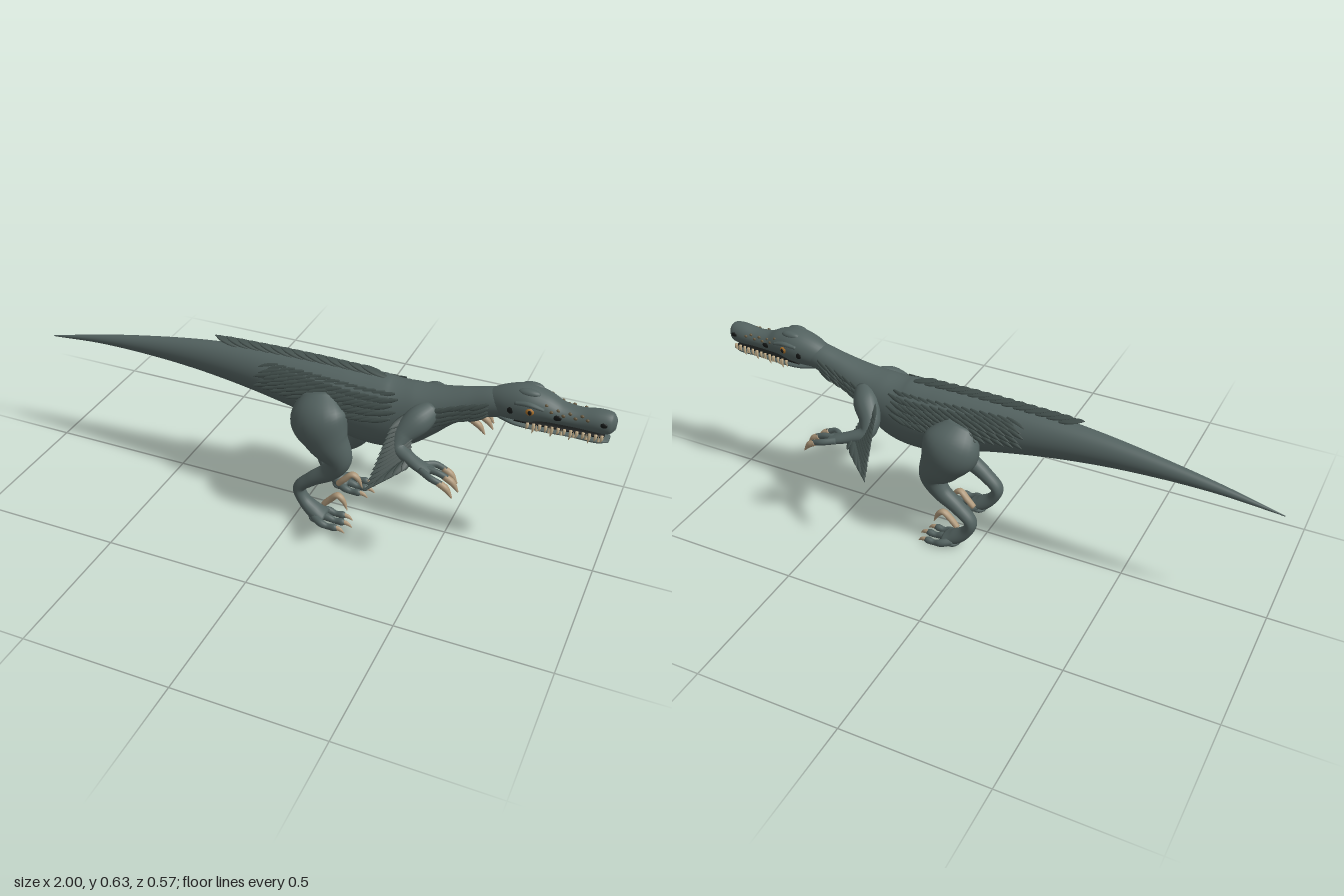
import * as THREE from 'three';
import { mergeGeometries } from 'three/addons/utils/BufferGeometryUtils.js';

const mat = (name, color) => Object.assign(new THREE.MeshStandardMaterial({ color }), { name });
const V = (x, y, z) => new THREE.Vector3(x, y, z);
const lerp = THREE.MathUtils.lerp;

// Sweep an ellipse along points [x, y, z, height radius, side radius]; ref is the side direction.
function sweep(pts, steps = 40, sides = 24, ref = V(0, 0, 1)) {
  const path = new THREE.CatmullRomCurve3(pts.map(p => V(p[0], p[1], p[2])));
  const radii = new THREE.CatmullRomCurve3(pts.map(p => V(p[3], p[4], 0)), false, 'catmullrom', 0.5);
  const pos = [], index = [];
  for (let k = -1; k <= steps + 1; k++) {
    const t = THREE.MathUtils.clamp(k / steps, 0, 1);
    const capped = k < 0 || k > steps;
    const c = path.getPoint(t), r = radii.getPoint(t), tan = path.getTangent(t);
    const s = ref.clone().addScaledVector(tan, -ref.dot(tan)).normalize();
    const u = s.clone().cross(tan);
    for (let j = 0; j < sides; j++) {
      const a = j / sides * Math.PI * 2;
      const p = c.clone();
      if (!capped) {
        p.addScaledVector(s, Math.cos(a) * Math.max(r.y, 0.0004));
        p.addScaledVector(u, Math.sin(a) * Math.max(r.x, 0.0004));
      }
      pos.push(p.x, p.y, p.z);
    }
  }
  for (let i = 0; i < steps + 2; i++) for (let j = 0; j < sides; j++) {
    const a = i * sides + j, b = i * sides + (j + 1) % sides;
    index.push(a, a + sides, b, b, a + sides, b + sides);
  }
  const g = new THREE.BufferGeometry();
  g.setAttribute('position', new THREE.Float32BufferAttribute(pos, 3));
  g.setIndex(index);
  g.computeVertexNormals();
  return g;
}

// Thin leaf-shaped blade from base to tip, its width lying along ref
function feather(base, tip, width, ref, thick = 0.003) {
  const at = (t, w) => {
    const p = base.clone().lerp(tip, t);
    return [p.x, p.y, p.z, thick * (w + 0.2), width * w];
  };
  return sweep([at(0, 0.45), at(0.35, 1), at(0.75, 0.8), at(1, 0.08)], 8, 8, ref);
}

// Ellipsoid without uv, so it merges with the swept parts
const ball = (x, y, z, rx, ry, rz) =>
  new THREE.SphereGeometry(1, 16, 12).deleteAttribute('uv').scale(rx, ry, rz).translate(x, y, z);

// Body profile: x, top, bottom, half width
const BODY = [
  [-1, 0.421, 0.418, 0.001], [-0.8, 0.467, 0.436, 0.016], [-0.6, 0.505, 0.437, 0.03],
  [-0.4, 0.535, 0.426, 0.046], [-0.2, 0.552, 0.402, 0.065], [0, 0.557, 0.365, 0.084],
  [0.12, 0.558, 0.33, 0.094], [0.22, 0.556, 0.307, 0.097], [0.31, 0.556, 0.315, 0.094],
  [0.4, 0.56, 0.375, 0.083], [0.48, 0.565, 0.44, 0.066], [0.56, 0.582, 0.483, 0.052],
  [0.63, 0.6, 0.505, 0.048], [0.69, 0.605, 0.52, 0.045]];
const SKULL = [
  [0.61, 0.59, 0.51, 0.035], [0.67, 0.62, 0.51, 0.054], [0.73, 0.635, 0.515, 0.06],
  [0.78, 0.623, 0.526, 0.054], [0.83, 0.6, 0.53, 0.044], [0.89, 0.594, 0.53, 0.037],
  [0.95, 0.603, 0.528, 0.037], [0.985, 0.6, 0.53, 0.031], [1, 0.582, 0.547, 0.014]];
const JAW = [
  [0.64, 0.54, 0.508, 0.03], [0.7, 0.53, 0.503, 0.048], [0.78, 0.521, 0.502, 0.045],
  [0.88, 0.518, 0.499, 0.034], [0.95, 0.517, 0.496, 0.031], [0.985, 0.514, 0.503, 0.02]];
const fromProfile = rows => rows.map(([x, t, b, w]) => [x, (t + b) / 2, 0, (t - b) / 2, w]);

// Point on the surface of a profile at x and angle a above the side
function onProfile(rows, x, a, side) {
  let i = 0;
  while (i < rows.length - 2 && rows[i + 1][0] < x) i++;
  const f = (x - rows[i][0]) / (rows[i + 1][0] - rows[i][0]);
  const [t, b, w] = [1, 2, 3].map(k => lerp(rows[i][k], rows[i + 1][k], f));
  return V(x, (t + b) / 2 + (t - b) / 2 * Math.sin(a), side * w * Math.cos(a));
}

export function createModel() {
  const model = new THREE.Group();
  model.name = 'featheredRaptor';
  const skin = mat('slate green skin', 0x536260);
  const plume = mat('dark feathers', 0x424f4c);
  const horn = mat('tan claws', 0xae987a);
  const tooth = mat('ivory teeth', 0xc9b48f);
  const amber = mat('amber eyes', 0xa8702c);
  const brown = mat('brown scales', 0x65583f);
  const black = mat('black openings', 0x151817);
  const add = (name, geos, material) => {
    const m = new THREE.Mesh(mergeGeometries([geos].flat()), material);
    m.name = name;
    model.add(m);
  };

  add('bodyAndTail', sweep(fromProfile(BODY), 90, 36), skin);
  add('skull', sweep(fromProfile(SKULL), 50, 32), skin);
  add('lowerJaw', sweep(fromProfile(JAW), 30, 24), skin);
  add('mouthLining', sweep([[0.7, 0.525, 0, 0.008, 0.042], [0.85, 0.524, 0, 0.008, 0.034], [0.97, 0.522, 0, 0.007, 0.024]], 12, 16), black);

  // Overlapping crest along the spine
  const crest = [];
  for (let i = 0; i < 14; i++) {
    const x = lerp(0.27, -0.25, i / 13);
    const b = onProfile(BODY, x, Math.PI / 2, 1);
    crest.push(feather(V(x, b.y - 0.003, 0), V(x - 0.09, b.y + 0.022, 0), 0.02, V(0, 0, 1), 0.004));
  }
  add('spineFeathers', crest, plume);

  for (const s of [1, -1]) {
    // The model faces +x, so its left is -z
    const side = s > 0 ? 'right' : 'left';
    const P = pts => pts.map(([x, y, z, a, b]) => [x, y, z * s, a, b]);

    // Flank and neck plumage
    const flank = [], neck = [];
    for (let r = 0; r < 5; r++) for (let i = 0; i < 14; i++) {
      const x = lerp(-0.09, 0.32, i / 13) + (r % 2) * 0.014;
      const b = onProfile(BODY, x, 0.95 - r * 0.19, s);
      flank.push(feather(b, b.clone().add(V(-0.075, -0.022, 0.012 * s)), 0.008, V(0, 1, -0.4 * s)));
    }
    for (let r = 0; r < 4; r++) for (let i = 0; i < 6; i++) {
      const x = 0.45 + i * 0.034;
      const b = onProfile(BODY, x, 0.35 - r * 0.3, s);
      neck.push(feather(b, b.clone().add(V(-0.055, -0.03, 0.012 * s)), 0.007, V(0, 1, -0.3 * s)));
    }
    add(side + 'FlankFeathers', flank, plume);
    add(side + 'NeckFeathers', neck, plume);

    // Hind leg
    add(side + 'Leg', sweep(P([
      [0.06, 0.475, 0.06, 0.06, 0.04], [0.08, 0.41, 0.103, 0.1, 0.07], [0.115, 0.34, 0.113, 0.077, 0.059],
      [0.152, 0.27, 0.106, 0.047, 0.043], [0.125, 0.215, 0.105, 0.034, 0.032], [0.06, 0.165, 0.105, 0.025, 0.028],
      [0.012, 0.115, 0.105, 0.021, 0.026], [0.028, 0.072, 0.105, 0.021, 0.025], [0.07, 0.035, 0.105, 0.026, 0.033],
      [0.11, 0.022, 0.105, 0.016, 0.036]]), 70, 24), skin);
    const toes = [ball(0.08, 0.016, 0.105 * s, 0.03, 0.016, 0.038)], toeClaws = [];
    for (const [z, dx] of [[0.07, -0.012], [0.107, 0], [0.146, -0.012]]) {
      toes.push(sweep(P([[0.075, 0.025, lerp(z, 0.105, 0.5), 0.015, 0.015], [0.12 + dx, 0.02, z, 0.014, 0.013],
        [0.145 + dx, 0.014, z, 0.011, 0.01], [0.17 + dx, 0.016, z, 0.013, 0.012], [0.182 + dx, 0.014, z, 0.007, 0.007]]), 20, 12));
      toeClaws.push(sweep(P([[0.172 + dx, 0.018, z, 0.009, 0.008], [0.192 + dx, 0.014, z, 0.007, 0.006], [0.207 + dx, 0.003, z, 0.001, 0.001]]), 8, 10));
    }
    add(side + 'Toes', toes, skin);
    add(side + 'ToeClaws', toeClaws, horn);
    // Raised sickle claw on the inner toe
    add(side + 'SickleClaw', sweep(P([[0.085, 0.037, 0.064, 0.01, 0.011], [0.11, 0.065, 0.063, 0.011, 0.013],
      [0.138, 0.09, 0.066, 0.01, 0.013], [0.158, 0.075, 0.068, 0.009, 0.009], [0.174, 0.04, 0.07, 0.001, 0.002]]), 24, 14), horn);

    // Arm and hand
    add(side + 'Arm', sweep(P([[0.44, 0.5, 0.04, 0.035, 0.035], [0.41, 0.475, 0.085, 0.045, 0.042], [0.375, 0.435, 0.125, 0.035, 0.034],
      [0.375, 0.405, 0.152, 0.026, 0.027], [0.42, 0.39, 0.175, 0.02, 0.023], [0.465, 0.378, 0.188, 0.016, 0.026],
      [0.495, 0.371, 0.19, 0.012, 0.03]]), 40, 20), skin);
    const fingers = [], claws = [];
    for (const [z, dx] of [[0.15, -0.008], [0.19, 0.008], [0.228, 0]]) {
      fingers.push(sweep(P([[0.465, 0.378, lerp(z, 0.188, 0.6), 0.012, 0.011], [0.505 + dx, 0.375, z, 0.011, 0.01], [0.54 + dx, 0.363, z, 0.01, 0.009]]), 12, 12));
      claws.push(sweep(P([[0.53 + dx, 0.366, z, 0.011, 0.01], [0.555 + dx, 0.352, z, 0.011, 0.011], [0.577 + dx, 0.322, z, 0.002, 0.003]]), 12, 12));
    }
    add(side + 'Fingers', fingers, skin);
    add(side + 'HandClaws', claws, horn);

    // Feather fan trailing from the arm
    const fan = [], along = V(0.05, -0.1, 0.1 * s);
    for (let i = 0; i < 13; i++) {
      const t = i / 12;
      const base = V(lerp(0.39, 0.42, t), lerp(0.495, 0.395, t), s * lerp(0.08, 0.17, t));
      const tip = V(lerp(0.34, 0.31, t), lerp(0.465, 0.308, t), s * lerp(0.15, 0.283, t));
      fan.push(feather(base, tip, 0.013, along));
    }
    for (let i = 1; i < 5; i++) {
      const t = i / 4;
      fan.push(feather(V(0.42, 0.393, 0.175 * s), V(lerp(0.31, 0.41, t), lerp(0.308, 0.37, t), s * lerp(0.283, 0.222, t)), 0.012, along));
    }
    add(side + 'ArmFeathers', fan, plume);

    // Face details
    add(side + 'Eye', ball(0.748, 0.577, 0.054 * s, 0.015, 0.013, 0.009), amber);
    add(side + 'Pupil', ball(0.75, 0.577, 0.061 * s, 0.006, 0.008, 0.004), black);
    add(side + 'Brow', [sweep(P([[0.7, 0.595, 0.052, 0.006, 0.006], [0.745, 0.6, 0.054, 0.008, 0.009], [0.79, 0.59, 0.05, 0.005, 0.006]]), 14, 10),
      ball(0.735, 0.622, 0.022 * s, 0.035, 0.013, 0.016)], skin);
    add(side + 'FaceOpenings', [ball(0.69, 0.568, 0.055 * s, 0.011, 0.012, 0.004), ball(0.83, 0.568, 0.043 * s, 0.014, 0.009, 0.004),
      ball(0.968, 0.572, 0.035 * s, 0.011, 0.008, 0.004)], black);
    const scales = [], teeth = [];
    for (let i = 0; i < 9; i++) {
      const p = onProfile(SKULL, 0.775 + i * 0.018, i % 2 ? 0.7 : 0.4, s);
      scales.push(ball(p.x, p.y, p.z, 0.006, 0.005, 0.004));
    }
    add(side + 'SnoutScales', scales, brown);
    for (let i = 0; i < 13; i++) {
      const x = 0.745 + i * 0.0185, z = lerp(0.05, 0.031, i / 12), len = i % 3 === 1 ? 0.034 : 0.024;
      teeth.push(sweep(P([[x, 0.534, z, 0.005, 0.004], [x, 0.534 - len / 2, z + 0.002, 0.0045, 0.004], [x - 0.003, 0.534 - len, z, 0.001, 0.001]]), 5, 8));
      if (i % 2) teeth.push(sweep(P([[x + 0.009, 0.51, z - 0.003, 0.004, 0.003], [x + 0.009, 0.53, z - 0.002, 0.001, 0.001]]), 4, 8));
    }
    add(side + 'Teeth', teeth, tooth);
  }
  return model;
}
